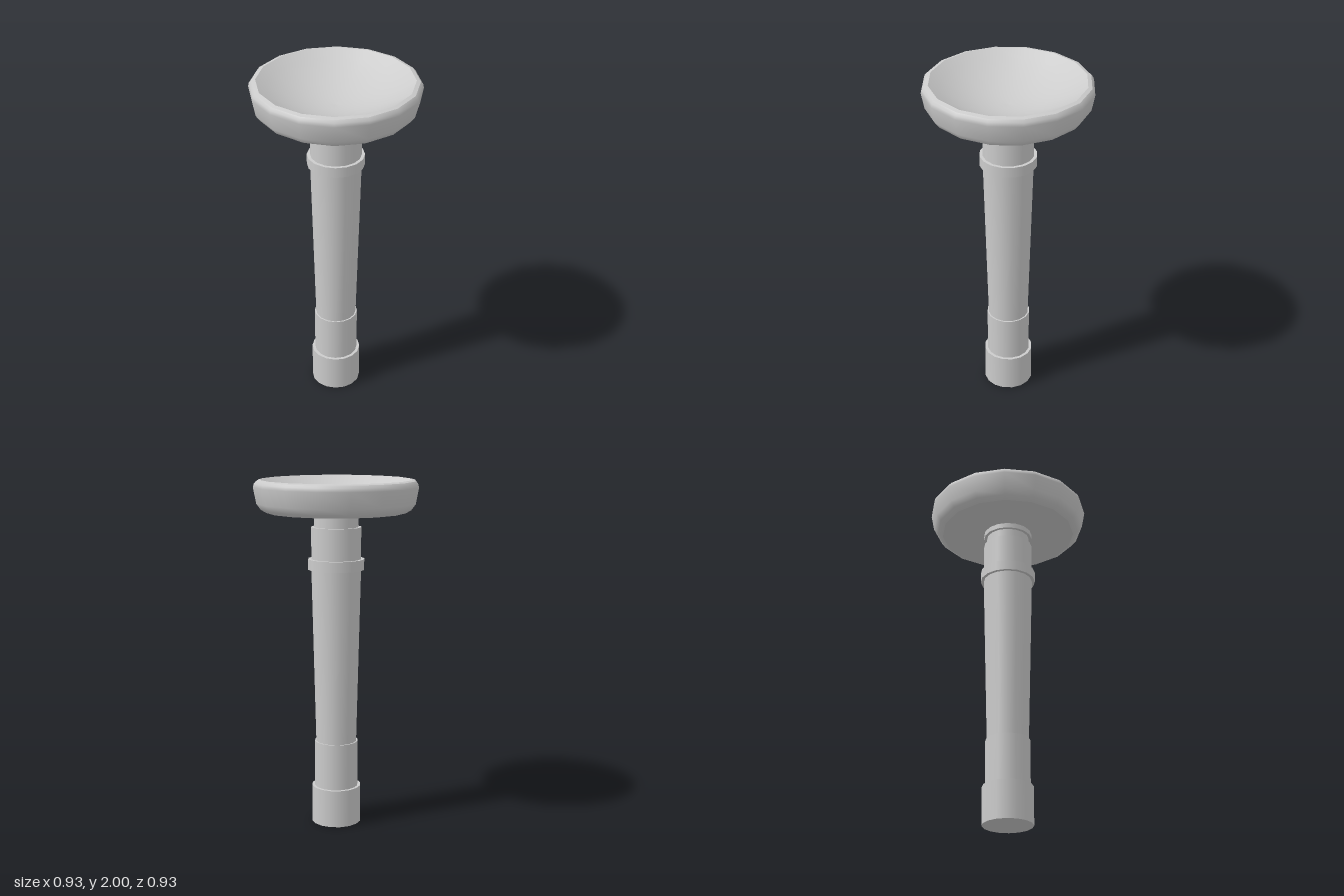
import * as THREE from 'three';

const SIDES = 16;

export function createModel() {
  const group = new THREE.Group();
  const material = new THREE.MeshStandardMaterial({ color: 0xcccccc });

  const add = (name, geometry) => {
    const mesh = new THREE.Mesh(geometry, material);
    mesh.name = name;
    group.add(mesh);
  };

  // Turned post: name, bottom y, top y, bottom radius, top radius
  const sections = [
    ['foot', 0, 0.22, 0.143, 0.143],
    ['lowerSleeve', 0.22, 0.49, 0.126, 0.126],
    ['taperedShaft', 0.49, 1.495, 0.118, 0.143],
    ['collar', 1.495, 1.555, 0.161, 0.161],
    ['upperSleeve', 1.555, 1.735, 0.143, 0.143],
    ['neck', 1.735, 1.788, 0.126, 0.126],
    ['dishSupport', 1.788, 1.818, 0.143, 0.143],
  ];
  for (const [name, y0, y1, r0, r1] of sections) {
    const geometry = new THREE.CylinderGeometry(r1, r0, y1 - y0, SIDES);
    geometry.translate(0, (y0 + y1) / 2, 0);
    add(name, geometry);
  }

  // Shallow hollow inside the rim, following a parabola
  const hollow = [];
  const steps = 8;
  for (let i = steps; i >= 0; i--) {
    const t = i / steps;
    hollow.push([0.428 * t, 1.855 + 0.145 * t * t]);
  }

  // Dish: smooth turned surfaces that meet in sharp edges
  const dish = {
    dishUnderside: [[0, 1.818], [0.395, 1.818]],
    dishWall: [
      [0.395, 1.818], [0.425, 1.836], [0.45, 1.87],
      [0.467, 1.96], [0.462, 1.98], [0.45, 1.994],
    ],
    dishRim: [[0.45, 1.994], [0.428, 2]],
    dishHollow: hollow,
  };
  for (const [name, profile] of Object.entries(dish)) {
    const points = profile.map(([r, y]) => new THREE.Vector2(r, y));
    add(name, new THREE.LatheGeometry(points, SIDES));
  }

  return group;
}
